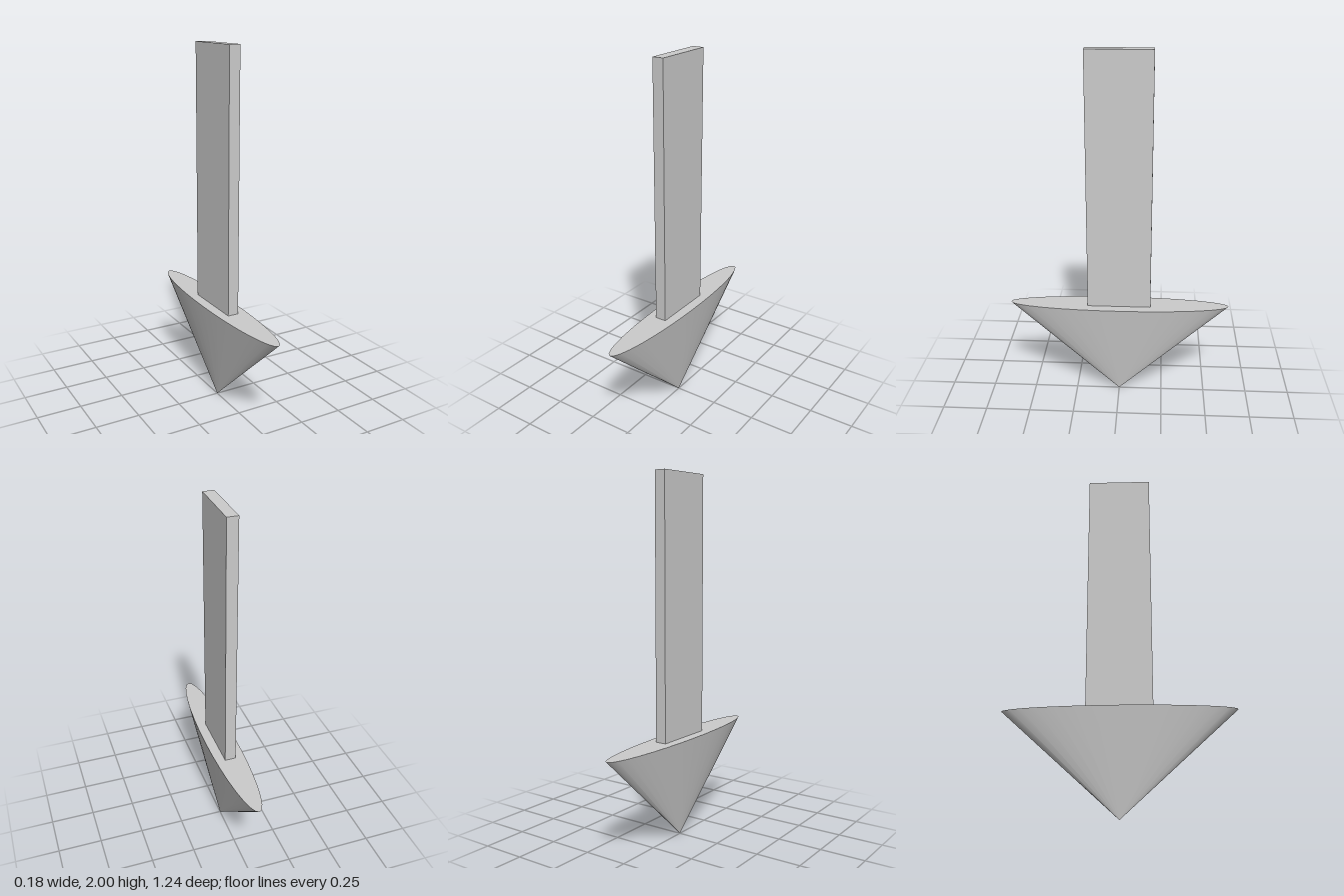
import * as THREE from 'three';

const HEAD_HEIGHT = 0.567;
const TOTAL_HEIGHT = 2;

export function createModel() {
  const model = new THREE.Group();
  model.name = 'downArrow';
  const material = new THREE.MeshStandardMaterial({ color: 0xcccccc });

  // Arrow head: a cone pointing down, flattened in x
  const headGeometry = new THREE.ConeGeometry(1, HEAD_HEIGHT, 32);
  headGeometry.rotateX(Math.PI);
  headGeometry.scale(0.088, 1, 0.622);
  const head = new THREE.Mesh(headGeometry, material);
  head.name = 'arrowHead';
  head.position.y = HEAD_HEIGHT / 2;
  model.add(head);

  // Shaft: a thin flat bar standing on the head
  const shaftHeight = TOTAL_HEIGHT - HEAD_HEIGHT;
  const shaft = new THREE.Mesh(new THREE.BoxGeometry(0.062, shaftHeight, 0.355), material);
  shaft.name = 'shaft';
  shaft.position.y = HEAD_HEIGHT + shaftHeight / 2;
  model.add(shaft);

  return model;
}
